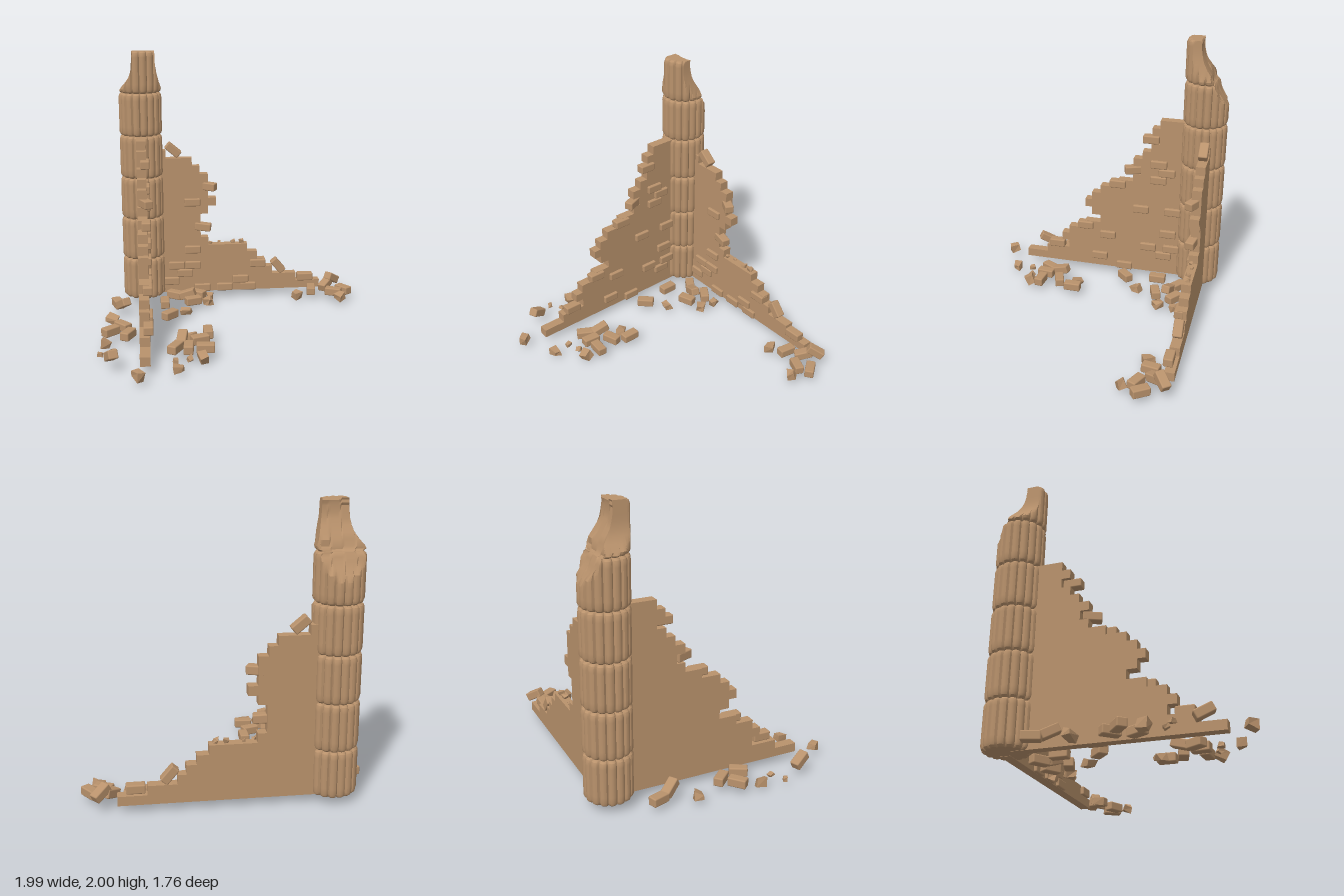
import * as THREE from 'three';
import { toCreasedNormals } from 'three/addons/utils/BufferGeometryUtils.js';
import { RoundedBoxGeometry } from 'three/addons/geometries/RoundedBoxGeometry.js';

const COL = { x: -0.665, z: -0.72 };
const BASE = 0.06, COURSE = 0.0648;

// Small repeatable noise in -1..1
const noise = (n) => {
  const s = Math.sin(n * 127.1 + 11.7) * 43758.5453;
  return (s - Math.floor(s)) * 2 - 1;
};

// Linear lookup in a list of [key, value]
function lookup(list, k) {
  if (k <= list[0][0]) return list[0][1];
  for (let i = 1; i < list.length; i++) {
    const [a, va] = list[i - 1], [b, vb] = list[i];
    if (k <= b) return va + (vb - va) * (k - a) / (b - a);
  }
  return list[list.length - 1][1];
}

// Limits of the broken column top by height
const BACK = [[1.5, -0.9], [1.54, -0.87], [1.6, -0.82], [1.68, -0.785], [1.7, -0.765], [1.76, -0.75], [1.85, -0.69], [1.93, -0.675], [2, -0.675]];
const LEFT = [[1.69, -0.85], [1.71, -0.815], [1.76, -0.77], [1.81, -0.74], [1.87, -0.728], [2, -0.72]];
const RIGHT = [[1.69, -0.48], [1.72, -0.51], [1.82, -0.535], [1.9, -0.548], [2, -0.55]];

// One fluted column drum, clipped where the top is broken away
function drumGeometry(y0, y1, seed) {
  const N = 96, h = y1 - y0, pos = [], idx = [];
  const rows = [[0, 0.02], [0.012, 0.006], [0.03, 0]];
  for (let t = 0.07; t < h - 0.04; t += 0.04) rows.push([t, 0]);
  rows.push([h - 0.03, 0], [h - 0.012, 0.006], [h, 0.02]);
  rows.forEach(([t, inset], j) => {
    const y = y0 + t;
    for (let i = 0; i < N; i++) {
      const a = i / N * Math.PI * 2;
      const r = 0.145 + 0.02 * Math.pow(Math.abs(Math.sin(8 * a)), 0.6) - inset;
      const rough = 0.006 * noise(Math.floor(i / 8) + j * 13 + seed);
      let x = COL.x + r * Math.cos(a), z = COL.z + r * Math.sin(a);
      x = Math.min(Math.max(x, lookup(LEFT, y)), lookup(RIGHT, y));
      z = Math.max(z, lookup(BACK, y) + rough);
      pos.push(x, y, z);
    }
  });
  const last = (rows.length - 1) * N;
  for (let j = 0; j < rows.length - 1; j++) for (let i = 0; i < N; i++) {
    const a = j * N + i, b = j * N + (i + 1) % N, c = b + N, d = a + N;
    idx.push(a, d, b, d, c, b);
  }
  // End caps as fans around the middle of each end ring
  [0, last].forEach((start) => {
    let cx = 0, cz = 0;
    for (let i = 0; i < N; i++) { cx += pos[(start + i) * 3] / N; cz += pos[(start + i) * 3 + 2] / N; }
    const c = pos.length / 3;
    pos.push(cx, pos[start * 3 + 1], cz);
    for (let i = 0; i < N; i++) {
      const p = start + i, q = start + (i + 1) % N;
      if (start) idx.push(c, q, p); else idx.push(c, p, q);
    }
  });
  const g = new THREE.BufferGeometry();
  g.setAttribute('position', new THREE.Float32BufferAttribute(pos, 3));
  g.setIndex(idx);
  return toCreasedNormals(g, 0.5);
}

// Stepped wall slab; ends holds the far edge of each brick course
function wallGeometry(start, ends) {
  const s = new THREE.Shape();
  s.moveTo(start, BASE);
  ends.forEach((e, i) => {
    s.lineTo(e, BASE + i * COURSE);
    s.lineTo(e, BASE + (i + 1) * COURSE);
  });
  s.lineTo(start, BASE + ends.length * COURSE);
  return new THREE.ExtrudeGeometry(s, { depth: 0.07, bevelEnabled: false });
}

// Irregular stone chip: a box with its corners pushed about
function chipGeometry(size, seed) {
  const g = new THREE.BoxGeometry(size, size * 0.75, size * 0.85).toNonIndexed();
  const p = g.attributes.position;
  for (let i = 0; i < p.count; i++) {
    const x = p.getX(i), y = p.getY(i), z = p.getZ(i);
    const k = (x > 0 ? 1 : 0) + (y > 0 ? 2 : 0) + (z > 0 ? 4 : 0) + seed * 8;
    p.setXYZ(i, x * (0.8 + 0.35 * noise(k)), y * (0.8 + 0.4 * noise(k + 500)), z * (0.8 + 0.35 * noise(k + 900)));
  }
  g.computeVertexNormals();
  return g;
}

export function createModel() {
  const model = new THREE.Group();
  model.name = 'ruinedCorner';
  const stone = new THREE.MeshStandardMaterial({ color: 0xb9926c });
  stone.name = 'sandstone';

  const group = (name) => {
    const g = new THREE.Group();
    g.name = name;
    model.add(g);
    return g;
  };
  const add = (parent, name, geo, pos = [0, 0, 0], rot = [0, 0, 0]) => {
    const m = new THREE.Mesh(geo, stone);
    m.name = name;
    m.position.set(...pos);
    m.rotation.set(...rot);
    parent.add(m);
    return m;
  };

  // Column of six drums
  const column = group('column');
  const levels = [0.06, 0.383, 0.707, 1.03, 1.357, 1.683, 2.0];
  for (let i = 0; i < 6; i++) add(column, 'drum', drumGeometry(levels[i] + 0.002, levels[i + 1], i * 40));

  // Walls
  const sideWall = group('sideWall'), frontWall = group('frontWall');
  add(sideWall, 'sideWallSlab', wallGeometry(-0.62, [0.76, 0.565, 0.37, 0.31, 0.245, 0.165,
    -0.15, -0.21, -0.21, -0.21, -0.15, -0.085, -0.15, -0.15, -0.15, -0.215, -0.275, -0.48]), [0, 0, -0.787]);
  add(frontWall, 'frontWallSlab', wallGeometry(-0.68, [0.69, 0.52, 0.33, 0.39, 0.33, 0.2,
    0.07, 0.14, 0.195, 0.14, 0.07, -0.07, -0.19, -0.25, -0.19, -0.26, -0.325, -0.39, -0.33, -0.39]),
  [-0.63, 0, 0], [0, -Math.PI / 2, 0]);

  // Bricks standing proud of the walls: [along, height, yaw, tilt]
  const brick = new RoundedBoxGeometry(0.127, 0.062, 0.068, 2, 0.009);
  [[-0.145, 0.93, -0.5, -0.06], [-0.275, 0.805], [-0.19, 0.6, -0.2, -0.1], [-0.275, 0.415], [-0.405, 0.285],
    [-0.275, 0.285], [-0.34, 0.22], [0.25, 0.285], [0.64, 0.155], [0.11, 0.155], [-0.02, 0.092], [0.17, 0.092],
    [-0.45, 0.155], [-0.2, 0.092]].forEach(([u, y, yaw = 0, tilt = 0]) =>
    add(sideWall, 'proudBrick', brick, [u, y, -0.73], [0, yaw, tilt]));
  [[-0.325, 1.2], [-0.39, 1.0], [-0.185, 0.935, -0.4], [-0.455, 0.935], [-0.39, 0.87], [-0.07, 0.805], [-0.26, 0.61],
    [-0.51, 0.61], [0.19, 0.415], [-0.48, 0.415], [0.005, 0.35], [-0.325, 0.285], [-0.51, 0.285], [-0.45, 0.22],
    [0.43, 0.22], [0.07, 0.155], [-0.135, 0.092]].forEach(([u, y, yaw = 0]) =>
    add(frontWall, 'proudBrick', brick, [-0.64, y, u], [0, Math.PI / 2 - yaw, 0]));

  // Loose bricks resting on the side wall
  add(sideWall, 'leaningBrick', brick, [0.42, 0.25, -0.75], [0, 0, -0.87]);
  add(sideWall, 'leaningBrick', brick, [-0.42, 1.225, -0.75], [0, 0, -0.7]);

  // Fallen bricks: [x, z, turn in degrees, height, tilt]
  const rubble = group('rubble');
  [[-0.875, -0.46, 72], [-0.83, -0.36, 58, 0.11, 0.5], [-0.825, 0.02, 48], [-0.91, 0.1, -40], [-0.785, 0.175, -62],
    [-0.89, 0.6, 70, 0.11, 0.5], [-0.51, -0.43, 90], [-0.48, -0.175, -45], [-0.425, -0.605, 35],
    [-0.33, -0.55, 15, 0.1, 0.35], [-0.245, -0.605, 35], [-0.29, -0.455, -18], [-0.22, 0.19, 90],
    [-0.285, 0.315, -18], [-0.41, 0.335, -80, 0.1, 0.3], [-0.46, 0.44, -60], [-0.37, 0.45, -85],
    [-0.255, 0.46, 5], [0.675, -0.615, -80], [0.8, -0.665, -50, 0.1, 0.3], [0.865, -0.725, -40, 0.135, -0.5],
    [0.845, -0.55, 25], [0.935, -0.595, 55]].forEach(([x, z, deg, y = 0.078, tilt = 0]) =>
    add(rubble, 'fallenBrick', brick, [x, y, z], [0, -deg * Math.PI / 180, tilt]));

  // Chips: [x, z, size, height]
  [[-0.905, -0.195, 0.085], [-0.935, 0.26, 0.085], [-0.97, 0.435, 0.045], [-0.88, 0.377, 0.045],
    [-0.71, 0.835, 0.085, 0.075], [-0.465, 0.595, 0.045], [-0.455, 0.725, 0.085], [-0.365, 0.568, 0.05],
    [-0.278, 0.557, 0.085], [-0.34, 0.18, 0.085], [-0.355, -0.29, 0.08], [-0.165, -0.5, 0.08],
    [-0.15, -0.625, 0.07], [0.55, -0.575, 0.085], [0.88, -0.46, 0.085, 0.075],
    [-0.13, -0.74, 0.03, 0.46], [-0.06, -0.76, 0.03, 0.46], [0.05, -0.75, 0.04, 0.462], [0.12, -0.75, 0.05, 0.464]]
    .forEach(([x, z, s, y = 0.05], i) =>
      add(rubble, 'stoneChip', chipGeometry(s, i + 1), [x, y, z], [noise(i) * 0.35, noise(i + 70) * 3, noise(i + 140) * 0.35]));

  return model;
}
